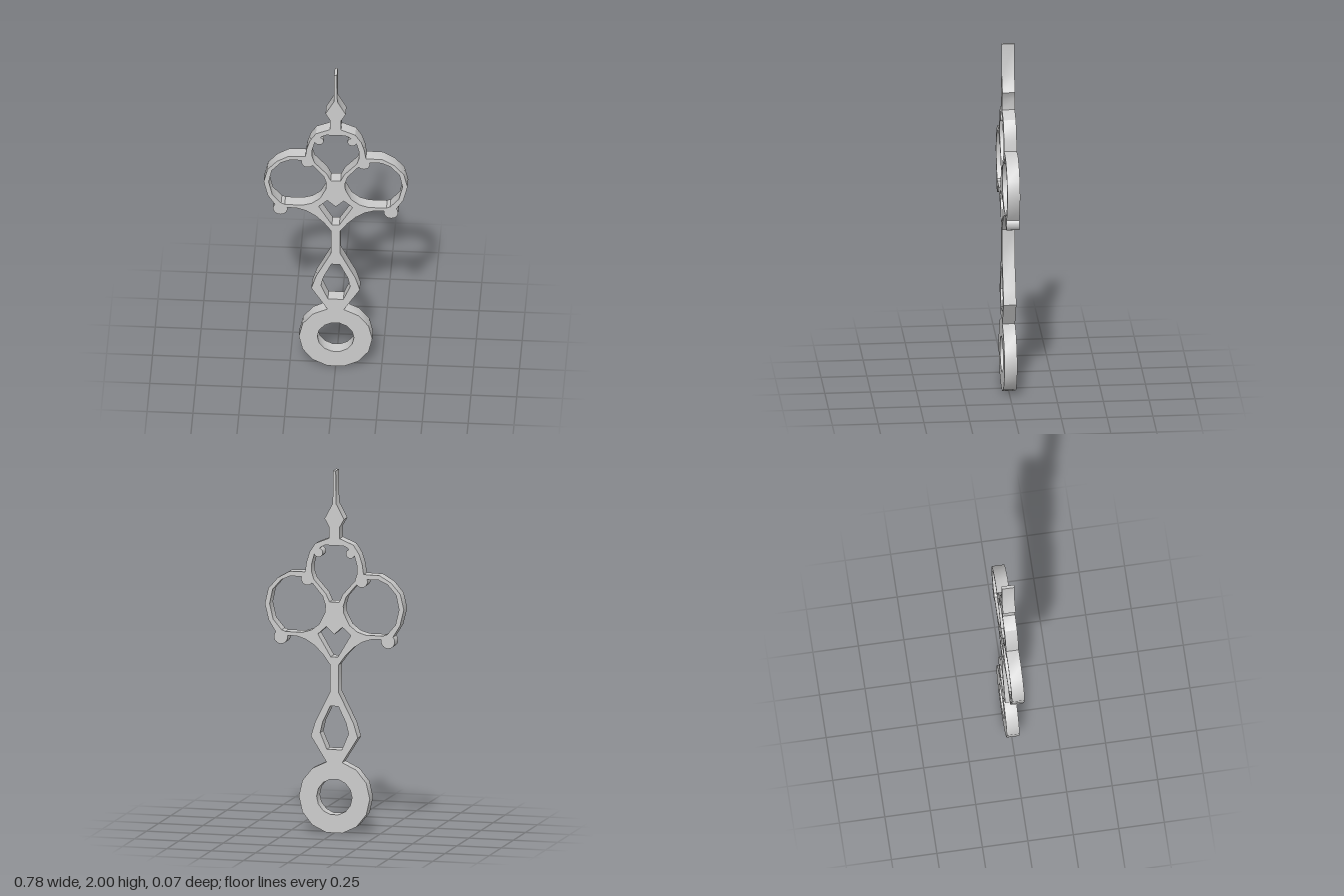
import * as THREE from 'three';
import { toCreasedNormals } from 'three/addons/utils/BufferGeometryUtils.js';

const DEPTH = 0.07;
const material = new THREE.MeshStandardMaterial({ color: 0xcccccc });
const points = (list) => list.map(([x, y]) => new THREE.Vector2(x, y));
const flip = (list) => list.map(([x, y]) => [-x, y]).reverse();
// Closes a right-hand half profile with its mirror image
const symmetric = (half) => [...half, ...flip(half.filter(([x]) => x !== 0))];

// Flat plate with holes, centred in depth
function plate(name, outline, holes = []) {
  const shape = new THREE.Shape(points(outline));
  holes.forEach((hole) => shape.holes.push(new THREE.Path(points(hole))));
  const geometry = new THREE.ExtrudeGeometry(shape, { depth: DEPTH, bevelEnabled: false });
  geometry.translate(0, 0, -DEPTH / 2);
  const mesh = new THREE.Mesh(toCreasedNormals(geometry, 0.55), material);
  mesh.name = name;
  return mesh;
}

// Fourteen-sided ring with a flat edge at top and bottom
function polygon(radius, cy, sides = 14) {
  return Array.from({ length: sides }, (_, i) => {
    const a = (i / sides) * Math.PI * 2;
    return [radius * Math.cos(a), cy + radius * Math.sin(a)];
  });
}

export function createModel() {
  const group = new THREE.Group();
  group.name = 'clockHand';

  // Mounting ring
  group.add(plate('mountingRing', polygon(0.2, 0.195), [polygon(0.1, 0.198)]));

  // Stem with its pierced lozenge
  group.add(plate('stem',
    symmetric([[0.044, 0.389], [0.132, 0.53], [0.108, 0.61], [0.025, 0.775], [0.025, 0.93]]),
    [symmetric([[0.042, 0.46], [0.08, 0.55], [0.066, 0.61], [0.023, 0.7]])]));

  // Three-lobed scrollwork
  const outline = symmetric([
    [0.025, 0.93], [0.065, 0.985], [0.11, 1.03], [0.16, 1.062], [0.21, 1.078], [0.27, 1.08],
    [0.33, 1.095], [0.37, 1.16], [0.392, 1.25], [0.372, 1.335], [0.32, 1.395], [0.255, 1.433],
    [0.165, 1.435], [0.157, 1.49], [0.14, 1.545], [0.107, 1.595], [0.03, 1.627],
  ]);
  const sideLobe = [
    [0.053, 1.215], [0.085, 1.15], [0.13, 1.115], [0.18, 1.1], [0.29, 1.1], [0.345, 1.165],
    [0.365, 1.25], [0.348, 1.33], [0.3, 1.385], [0.25, 1.408], [0.17, 1.408],
    [0.12, 1.37], [0.066, 1.305], [0.05, 1.255],
  ];
  const topLobe = symmetric([
    [0.027, 1.275], [0.048, 1.32], [0.115, 1.395], [0.128, 1.435], [0.128, 1.48],
    [0.112, 1.54], [0.075, 1.577], [0.052, 1.588],
  ]);
  const heart = symmetric([[0.02, 0.972], [0.093, 1.095], [0.045, 1.138], [0, 1.097]]);
  group.add(plate('scrollwork', outline, [sideLobe, flip(sideLobe), topLobe, heart]));

  // Pointed spire
  group.add(plate('spire', symmetric([
    [0.03, 1.627], [0.03, 1.69], [0.055, 1.735], [0.009, 1.82], [0.008, 2],
  ])));

  // Round curl ends, mirrored left and right
  const curls = [
    ['lowerCurl', 0.302, 1.07, 0.039],
    ['middleCurl', 0.153, 1.396, 0.034],
    ['upperCurl', 0.09, 1.545, 0.025],
  ];
  for (const [name, x, y, radius] of curls) {
    for (const side of [1, -1]) {
      const geometry = new THREE.CylinderGeometry(radius, radius, DEPTH, 18).rotateX(Math.PI / 2);
      const curl = new THREE.Mesh(geometry, material);
      curl.name = name + (side > 0 ? 'Left' : 'Right');
      curl.position.set(side * x, y, 0);
      group.add(curl);
    }
  }
  return group;
}
